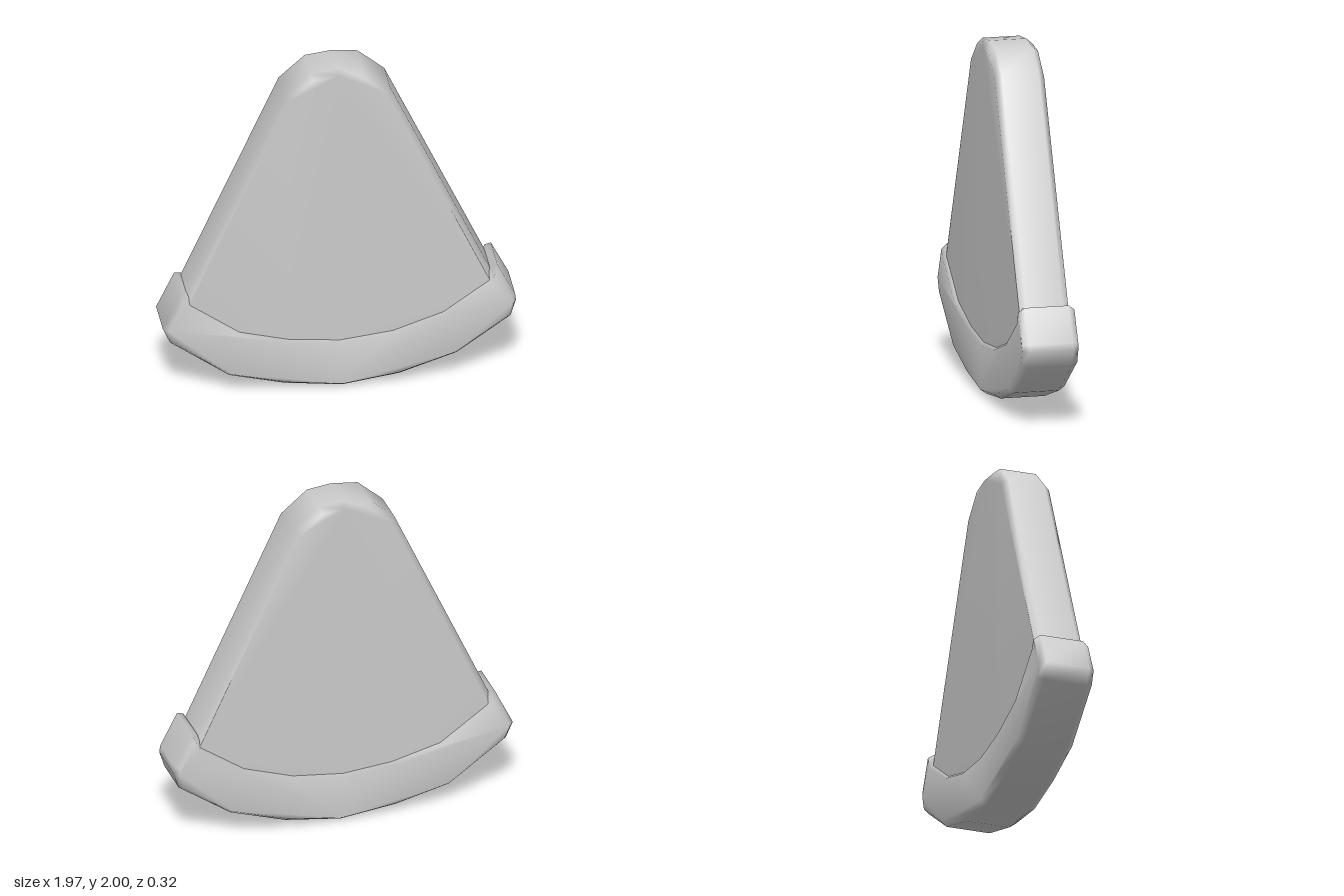
import * as THREE from 'three';
import { mergeVertices } from 'three/addons/utils/BufferGeometryUtils.js';

const material = new THREE.MeshStandardMaterial({ color: 0xcccccc });

// Slab with chamfered, softly shaded rims; the outline is its widest section
function slab(name, outline, halfDepth, bevelSize, bevelThickness) {
  const shape = new THREE.Shape(outline.map(([x, y]) => new THREE.Vector2(x, y)));
  const depth = 2 * (halfDepth - bevelThickness);
  let geometry = new THREE.ExtrudeGeometry(shape, {
    depth, bevelEnabled: true, bevelSegments: 1,
    bevelSize, bevelThickness, bevelOffset: -bevelSize,
  });
  geometry.translate(0, 0, -depth / 2);
  geometry.deleteAttribute('uv');
  geometry.deleteAttribute('normal');
  geometry = mergeVertices(geometry, 1e-4);
  geometry.computeVertexNormals();
  const mesh = new THREE.Mesh(geometry, material);
  mesh.name = name;
  return mesh;
}

export function createModel() {
  const group = new THREE.Group();
  group.name = 'wedgeSlice';

  // Tapered body with a rounded tip, its lower arc sunk into the rind
  group.add(slab('flesh', [
    [-0.9, 0.53], [-0.58, 0.28], [-0.29, 0.2], [0, 0.17], [0.3, 0.2], [0.6, 0.3], [0.9, 0.53],
    [0.84, 0.66], [0.28, 1.86], [0.13, 1.985], [-0.01, 2], [-0.165, 1.98], [-0.31, 1.85], [-0.86, 0.635],
  ], 0.14, 0.03, 0.035));

  // Thicker curved band with raised ends
  group.add(slab('rind', [
    // outer arc
    [-0.99, 0.44], [-0.95, 0.35], [-0.62, 0.115], [-0.31, 0.04], [0.01, 0.003],
    [0.33, 0.05], [0.65, 0.155], [0.95, 0.365], [0.98, 0.46], [0.975, 0.5],
    // right-hand end, inner arc, left-hand end
    [0.877, 0.69], [0.84, 0.68], [0.82, 0.61], [0.57, 0.435], [0.29, 0.34], [0, 0.305],
    [-0.28, 0.33], [-0.56, 0.4], [-0.83, 0.59], [-0.852, 0.645], [-0.89, 0.647],
  ], 0.16, 0.024, 0.035));

  return group;
}
